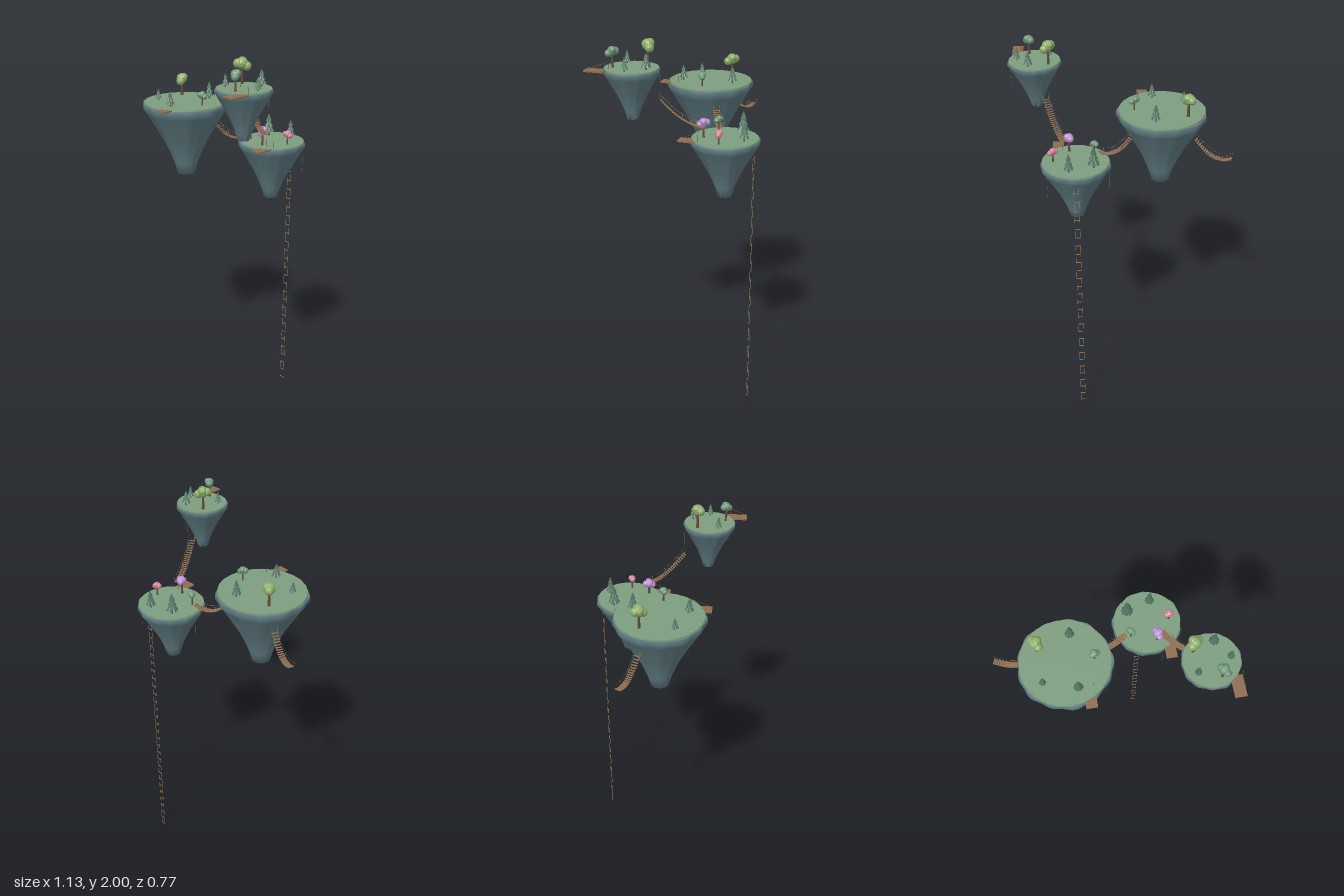
import * as THREE from 'three';
import { toCreasedNormals } from 'three/addons/utils/BufferGeometryUtils.js';

const V = (x, y, z) => new THREE.Vector3(x, y, z);
const mat = (name, color, flatShading = false) => {
  const m = new THREE.MeshStandardMaterial({ color, flatShading });
  m.name = name;
  return m;
};

export function createModel() {
  const M = {
    grass: mat('grass green', 0x7e9e7f),
    rock: mat('slate rock', 0x627f86),
    wood: mat('plank wood', 0x8f6e52),
    rope: mat('tan rope', 0xa08a68),
    trunk: mat('bark brown', 0x6a4d3a),
    pine: mat('pine green', 0x527562, true),
    olive: mat('olive leaf', 0x90ad6c, true),
    leaf: mat('soft green leaf', 0x719a7c, true),
    purple: mat('purple blossom', 0xbd92d6, true),
    pink: mat('pink blossom', 0xd9819d, true),
  };
  const root = new THREE.Group();
  root.name = 'floatingIslands';

  const add = (parent, name, geo, material, x = 0, y = 0, z = 0) => {
    const m = new THREE.Mesh(geo, material);
    m.name = name;
    m.position.set(x, y, z);
    parent.add(m);
    return m;
  };
  const group = (name, parent = root) => {
    const g = new THREE.Group();
    g.name = name;
    parent.add(g);
    return g;
  };
  // thin straight rod between two points
  const rod = (parent, name, a, b, r, material) => {
    const d = b.clone().sub(a);
    const m = add(parent, name, new THREE.CylinderGeometry(r, r, d.length(), 5), material);
    m.position.copy(a).add(b).multiplyScalar(0.5);
    m.quaternion.setFromUnitVectors(V(0, 1, 0), d.normalize());
  };

  // Lobed, ribbed rock cone with a grass cap
  function island(name, x, z, r, top, bottom, seed) {
    const g = group(name);
    g.position.set(x, 0, z);
    const h = top - bottom;
    const profile = [[0, 1], [0.2, 1], [0.28, 0.84], [0.39, 0.68], [0.54, 0.5], [0.74, 0.3],
      [0.9, 0.14], [0.99, 0.06], [0.975, 0.012], [0, 0.012]]
      .map(([pr, d]) => new THREE.Vector2(pr * r, top - d * h));
    const geo = new THREE.LatheGeometry(profile, 60);
    const p = geo.attributes.position;
    for (let i = 0; i < p.count; i++) {
      const a = Math.atan2(p.getZ(i), p.getX(i));
      const k = 1 + 0.016 * Math.sin(13 * a + seed) + 0.014 * Math.sin(5 * a + seed * 2);
      p.setX(i, p.getX(i) * k);
      p.setZ(i, p.getZ(i) * k);
    }
    add(g, 'rock', toCreasedNormals(geo, 1.3), M.rock);
    add(g, 'grass', new THREE.CylinderGeometry(r * 0.955, r * 0.96, 0.008, 24), M.grass, 0, top, 0);
  }
  island('largeIsland', -0.218, 0.005, 0.232, 1.67, 1.273, 0.5);
  island('lowIsland', 0.224, -0.213, 0.176, 1.503, 1.197, 2);
  island('highIsland', 0.425, 0.192, 0.138, 1.87, 1.625, 4);

  // Pine: trunk and three star-shaped tiers
  function pine(x, y, z, h, r) {
    const g = group('pineTree');
    g.position.set(x, y, z);
    add(g, 'trunk', new THREE.CylinderGeometry(0.003, 0.004, h * 0.4, 6), M.trunk, 0, h * 0.2, 0);
    [[1, 0.2, 0.38], [0.75, 0.42, 0.34], [0.5, 0.65, 0.35]].forEach(([k, base, ht], t) => {
      const geo = new THREE.ConeGeometry(r * k, h * ht, 18);
      const p = geo.attributes.position;
      for (let i = 0; i < p.count; i++) {
        const a = Math.atan2(p.getZ(i), p.getX(i));
        const s = 0.91 + 0.09 * Math.cos(9 * a + Math.PI / 2 * 9);
        p.setX(i, p.getX(i) * s);
        p.setZ(i, p.getZ(i) * s);
      }
      geo.rotateY(t * 0.4);
      add(g, 'pineTier', geo, M.pine, 0, h * (base + ht / 2), 0);
    });
  }
  [[-0.175, 1.67, -0.13, 0.098, 0.025], [-0.175, 1.67, 0.145, 0.085, 0.024], [-0.337, 1.67, 0.093, 0.065, 0.018],
    [0.135, 1.503, -0.28, 0.122, 0.032], [0.256, 1.503, -0.32, 0.105, 0.025],
    [0.453, 1.87, 0.106, 0.085, 0.025], [0.513, 1.87, 0.19, 0.07, 0.018], [0.354, 1.87, 0.243, 0.07, 0.018],
  ].forEach((t) => pine(...t));

  // Round tree: trunk and faceted leaf clumps; cy is the crown centre
  function roundTree(x, y, z, cy, r, material, turn) {
    const g = group('roundTree');
    g.position.set(x, y, z);
    g.rotation.y = turn;
    const c = cy - y;
    add(g, 'trunk', new THREE.CylinderGeometry(r * 0.12, r * 0.2, c, 6), M.trunk, 0, c / 2, 0);
    [[0, 0.1, 0, 0.74], [0.5, -0.2, 0.22, 0.57], [-0.48, 0.1, -0.15, 0.58], [0.1, 0.3, -0.25, 0.55]]
      .forEach(([a, b, d, s], i) => {
        const m = add(g, 'leafClump', new THREE.IcosahedronGeometry(r * s, 1), material, a * r, c + b * r, d * r);
        m.rotation.set(i, i * 2, 0.3);
      });
  }
  [[-0.342, 1.67, -0.077, 1.762, 0.04, M.olive, -0.6], [-0.077, 1.67, 0.008, 1.727, 0.026, M.leaf, 0.8],
    [0.13, 1.503, -0.15, 1.566, 0.024, M.leaf, -0.4], [0.335, 1.503, -0.213, 1.56, 0.025, M.pink, 0.6],
    [0.256, 1.503, -0.11, 1.58, 0.032, M.purple, -0.8], [0.352, 1.87, 0.135, 1.966, 0.04, M.olive, 1.1],
    [0.455, 1.87, 0.275, 1.948, 0.032, M.leaf, -0.5],
  ].forEach((t) => roundTree(...t));

  // Sagging rope bridge: level planks, floor ropes, handrails and hangers
  function bridge(name, a, b, sag, n) {
    const g = group(name);
    const mid = a.clone().add(b).multiplyScalar(0.5);
    mid.y -= sag * 2;
    const curve = new THREE.QuadraticBezierCurve3(a, mid, b);
    const flat = V(b.x - a.x, 0, b.z - a.z);
    const plank = new THREE.BoxGeometry(0.032, 0.0025, flat.length() / n * 0.92);
    flat.normalize();
    const side = V(flat.z, 0, -flat.x);
    for (let i = 0; i < n; i++) {
      const m = add(g, 'plank', plank, M.wood);
      m.position.copy(curve.getPoint((i + 0.5) / n));
      m.lookAt(m.position.clone().add(flat));
    }
    for (const s of [-0.015, 0.015]) {
      for (const lift of [0, 0.024]) {
        const pts = curve.getPoints(12).map((p) => p.addScaledVector(side, s).add(V(0, lift, 0)));
        add(g, 'rope', new THREE.TubeGeometry(new THREE.CatmullRomCurve3(pts), 20, 0.0005, 4), M.rope);
      }
      for (let i = 0; i <= 6; i++) {
        const p = curve.getPoint(i / 6).addScaledVector(side, s);
        rod(g, 'hanger', p, p.clone().add(V(0, 0.024, 0)), 0.0005, M.rope);
      }
    }
  }
  bridge('brokenBridge', V(-0.385, 1.55, -0.08), V(-0.565, 1.468, -0.15), 0.045, 20);
  bridge('lowBridge', V(-0.055, 1.56, -0.078), V(0.105, 1.525, -0.155), 0.04, 20);
  bridge('highBridge', V(0.28, 1.565, -0.122), V(0.372, 1.715, 0.07), 0.028, 24);

  // Dock: planks on two beams set under the grass edge, with posts and stay ropes
  function dock(x, y, z1) {
    const g = group('dock');
    const n = 10, length = 0.105, step = length / n, z0 = z1 - length;
    for (let i = 0; i < n; i++) {
      add(g, 'dockPlank', new THREE.BoxGeometry(0.055, 0.004, step * 0.96), M.wood, x, y, z0 + (i + 0.5) * step);
    }
    for (const s of [-0.025, 0.025]) {
      add(g, 'dockBeam', new THREE.BoxGeometry(0.004, 0.004, length), M.wood, x + s, y - 0.004, z0 + length / 2);
      rod(g, 'dockPost', V(x + s, y - 0.005, z0), V(x + s, y + 0.04, z0), 0.0009, M.trunk);
      rod(g, 'stayRope', V(x + s, y + 0.038, z0), V(x + s, y, z1 - 0.003), 0.0005, M.rope);
    }
  }
  dock(-0.128, 1.67, 0.253);
  dock(0.313, 1.503, 0);
  dock(0.518, 1.87, 0.385);

  // Long ladder hanging behind the low island
  const ladder = group('ladder');
  const ladderTop = 1.45;
  for (const s of [-0.0125, 0.0125]) {
    add(ladder, 'ladderRope', new THREE.BoxGeometry(0.001, ladderTop, 0.001), M.rope, 0.222 + s, ladderTop / 2, -0.36);
  }
  for (let y = 0.003; y < ladderTop; y += 0.052) {
    add(ladder, 'rung', new THREE.BoxGeometry(0.027, 0.004, 0.003), M.wood, 0.222, y, -0.36);
  }

  // Vines hanging from the rims
  const vines = group('vines');
  [[0.055, 1.5, -0.2, 0.16], [0.365, 1.5, -0.3, 0.15], [0.28, 1.5, -0.06, 0.16],
    [0.545, 1.87, 0.15, 0.13], [0.4, 1.87, 0.062, 0.14],
  ].forEach(([x, y, z, len]) => rod(vines, 'vine', V(x, y, z), V(x, y - len, z), 0.0007, M.pine));

  return root;
}
